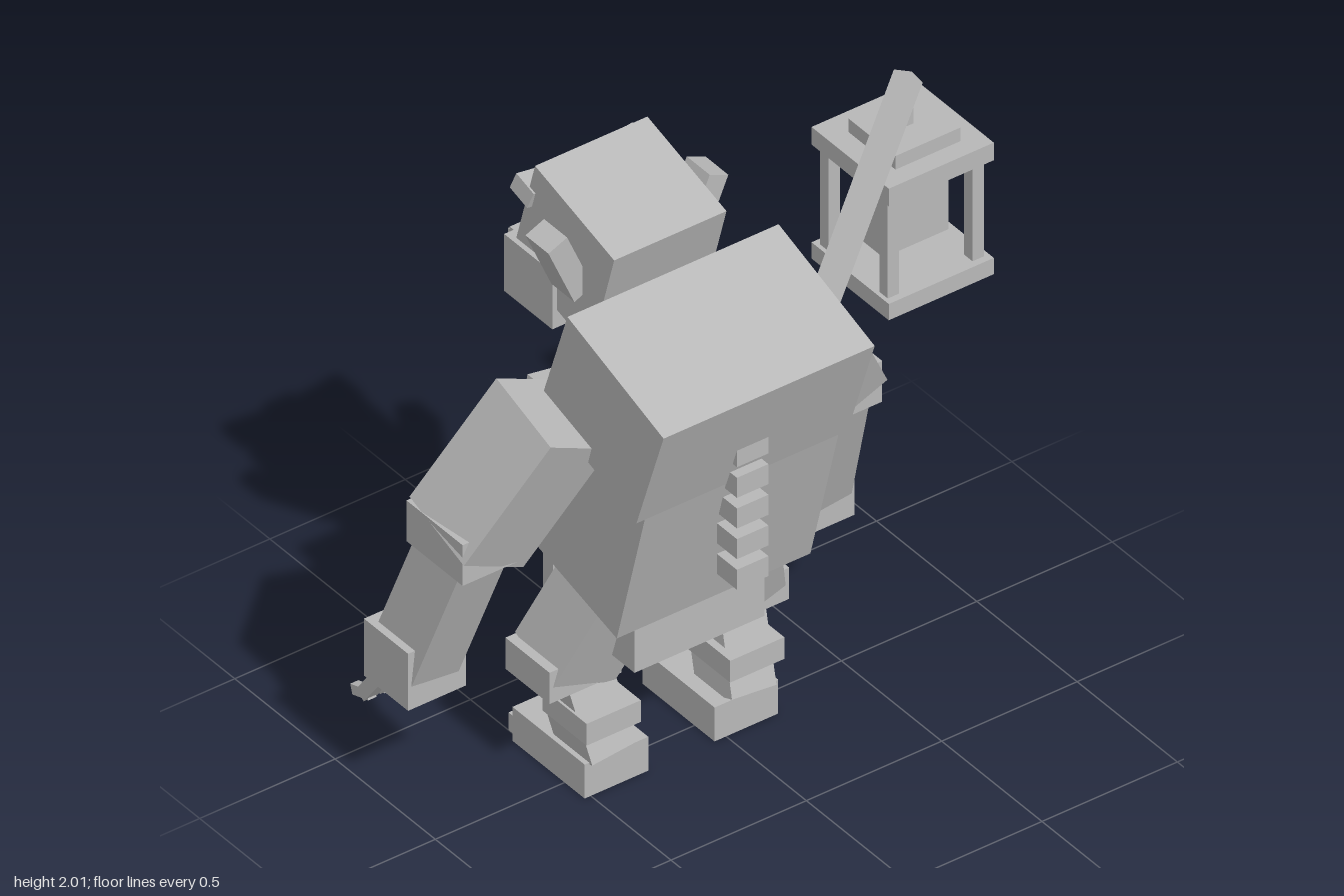
import * as THREE from 'three';

export function createModel() {
  const model = new THREE.Group();
  const grey = new THREE.MeshStandardMaterial({ color: 0xb8b8b8 });
  grey.name = 'grey stone';
  const MID = -0.165; // body's own centre line
  const V = (a) => new THREE.Vector3(...a);

  const add = (name, size, pos, rot = [0, 0, 0]) => {
    const m = new THREE.Mesh(new THREE.BoxGeometry(...size), grey);
    m.name = name;
    m.position.set(...pos);
    m.rotation.set(...rot);
    model.add(m);
    return m;
  };
  // axis-aligned box from its limits
  const box = (name, x0, x1, y0, y1, z0, z1) =>
    add(name, [x1 - x0, y1 - y0, z1 - z0], [(x0 + x1) / 2, (y0 + y1) / 2, (z0 + z1) / 2]);
  // box running along a segment, its depth turned towards "back"
  const limb = (name, from, to, w, d, back = [0, 0, 1]) => {
    const a = V(from), b = V(to), up = b.clone().sub(a);
    const m = add(name, [w, up.length(), d], a.add(b).multiplyScalar(0.5).toArray());
    up.normalize();
    const x = up.clone().cross(V(back)).normalize();
    m.quaternion.setFromRotationMatrix(new THREE.Matrix4().makeBasis(x, up, x.clone().cross(up)));
    return m;
  };

  // torso and spine
  add('upperBack', [0.78, 0.415, 0.507], [MID, 1.486, 0.23], [0.332, 0, 0]);
  add('lowerTorso', [0.715, 0.54, 0.52], [MID, 1.013, 0.079], [0.262, 0, 0]);
  for (let i = 0; i < 5; i++) {
    const y = 0.885 + i * 0.113;
    box('vertebra', MID - 0.058, MID + 0.058, y - 0.037, y + 0.037, 0.355, 0.455);
  }

  // hips and hanging cloth with ragged edge
  box('pelvis', -0.405, 0.075, 0.465, 0.82, -0.2, 0.19);
  box('loincloth', -0.41, 0.08, 0.375, 0.71, -0.26, -0.21);
  [[-0.33, -0.19], [-0.165, -0.09], [-0.06, 0.0]].forEach(([a, b]) => {
    box('clothTatter', a, b, 0.35, 0.38, -0.26, -0.21);
    box('clothHem', a - 0.02, b, 0.70, 0.74, -0.26, -0.21);
  });

  // head, jaw and nose
  add('head', [0.415, 0.417, 0.411], [MID, 1.7425, -0.211], [0.284, 0, 0]);
  box('jaw', -0.39, 0.055, 1.47, 1.68, -0.48, -0.24);
  box('lips', MID - 0.19, MID + 0.19, 1.54, 1.68, -0.5, -0.46);
  box('nose', MID - 0.055, MID + 0.055, 1.7, 1.86, -0.495, -0.36);

  for (const s of [-1, 1]) {
    const X = (dx) => MID + s * dx;
    const b = (name, cx, w, y0, y1, z0, z1) =>
      box(name, X(cx) - w / 2, X(cx) + w / 2, y0, y1, z0, z1);

    // face and ears
    add('brow', [0.215, 0.06, 0.09], [X(0.115), 1.865, -0.405], [0.284, 0, s * 0.2]);
    b('eye', 0.115, 0.08, 1.775, 1.845, -0.45, -0.37);
    b('pupil', 0.105, 0.03, 1.795, 1.825, -0.46, -0.44);
    for (let i = 0; i < 3; i++) b('tooth', 0.05 + i * 0.05, 0.04, 1.565, 1.645, -0.535, -0.48);
    add('ear', [0.075, 0.24, 0.115], [X(0.25), 1.775, -0.172], [0, 0, -s * 0.41]);

    // ribs
    for (let i = 0; i < 5; i++)
      add('rib', [0.26, 0.045, 0.17], [X(0.2), 1.31 - i * 0.083, -0.145], [0, 0, s * 0.17]);

    // arm
    limb('upperArm', [X(0.6575), 1.005, -0.085], [X(0.4295), 1.415, 0.04], 0.27, 0.298, [0, -0.06, 0.29]);
    b('elbow', 0.675, 0.2, 0.94, 1.09, -0.225, 0.055);
    limb('forearm', [X(0.722), 0.49, -0.25], [X(0.668), 0.98, -0.08], 0.175, 0.215);
    b('hand', 0.718, 0.213, 0.38, 0.59, -0.37, -0.15);
    for (let i = 0; i < 3; i++) {
      const x = X(0.655 + i * 0.06);
      limb('finger', [x, 0.265, -0.425], [x, 0.4, -0.325], 0.047, 0.045);
      limb('fingertip', [x, 0.25, -0.48], [x, 0.275, -0.4], 0.03, 0.035);
    }

    // leg
    limb('thigh', [X(0.305), 0.4, -0.07], [X(0.19), 0.75, 0.05], 0.24, 0.23);
    b('kneePad', 0.31, 0.265, 0.35, 0.465, -0.18, 0.04);
    limb('shin', [X(0.255), 0.1, 0.03], [X(0.285), 0.4, -0.08], 0.165, 0.18);
    b('ankleBand', 0.265, 0.2, 0.21, 0.29, -0.1, 0.12);
    b('foot', 0.24, 0.235, 0, 0.125, -0.26, 0.1);
    for (let i = -1; i < 2; i++) b('toe', 0.25 + i * 0.06, 0.05, 0, 0.065, -0.31, -0.25);
  }

  // lantern on its pole
  limb('lanternPole', [0.14, 1.506, 0.316], [0.81, 1.97, -0.085], 0.07, 0.065);
  box('lanternHook', 0.77, 0.81, 1.8, 1.97, -0.1, -0.06);
  box('lanternCap', 0.67, 0.91, 1.76, 1.81, -0.195, 0.04);
  box('lanternRoof', 0.597, 0.985, 1.695, 1.76, -0.28, 0.105);
  box('lanternBase', 0.597, 0.985, 1.275, 1.335, -0.28, 0.105);
  box('lanternCore', 0.67, 0.91, 1.4, 1.695, -0.14, -0.02);
  for (const x of [0.632, 0.945])
    for (const z of [-0.235, 0.06])
      box('lanternPost', x - 0.021, x + 0.021, 1.335, 1.695, z - 0.021, z + 0.021);

  return model;
}
